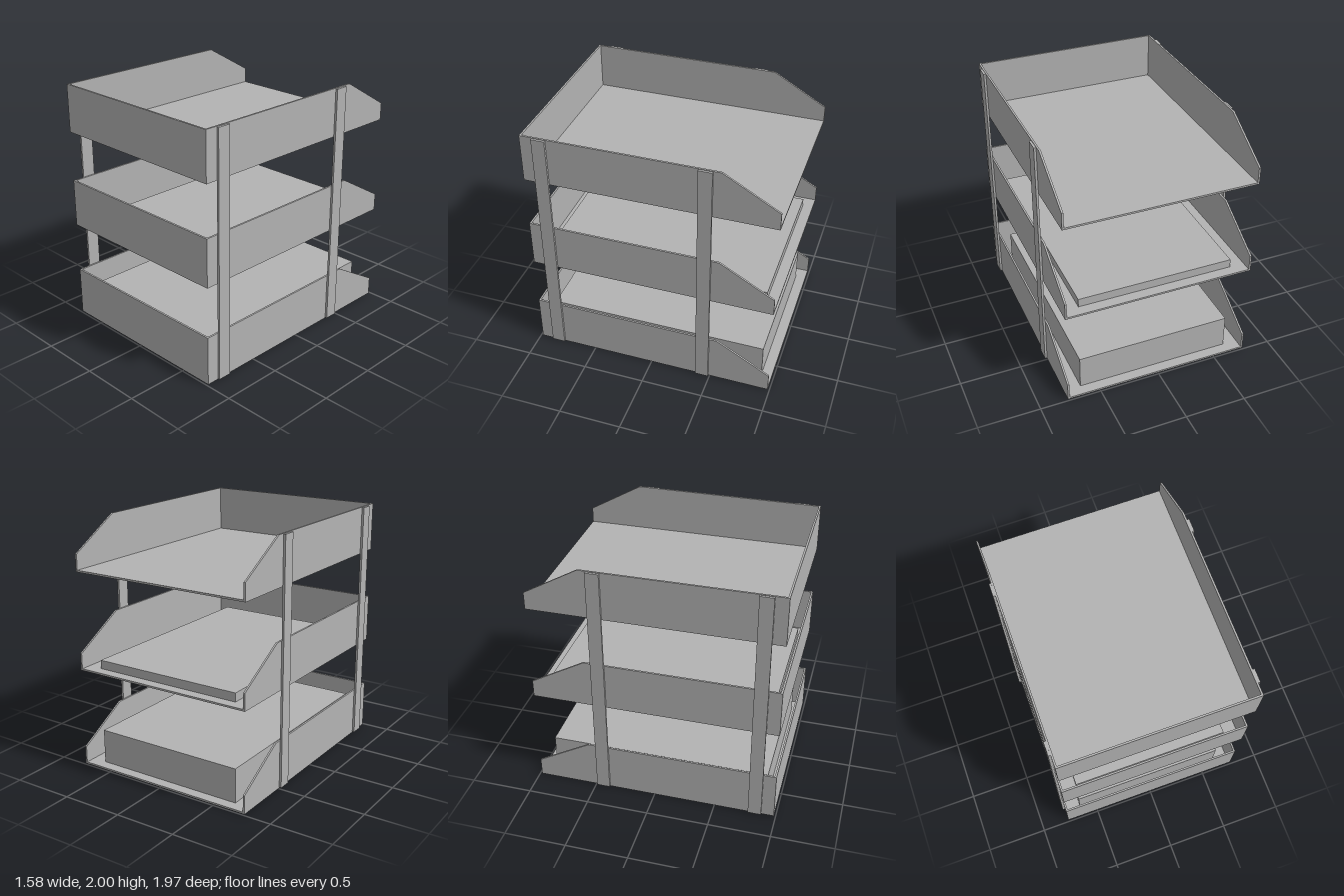
import * as THREE from 'three';

const W = 0.77;    // half width of a tray
const D = 0.985;   // half depth of a tray
const T = 0.015;   // sheet thickness

export function createModel() {
  const model = new THREE.Group();
  model.name = 'letterTrays';
  const grey = new THREE.MeshStandardMaterial({ color: 0xb3b3b3 });
  grey.name = 'grey';

  const add = (parent, name, geometry, x, y, z) => {
    const mesh = new THREE.Mesh(geometry, grey);
    mesh.name = name;
    mesh.position.set(x, y, z);
    parent.add(mesh);
  };
  // Box given by its centre in x and z and the height of its underside
  const box = (parent, name, w, h, d, x, y, z) =>
    add(parent, name, new THREE.BoxGeometry(w, h, d), x, y + h / 2, z);

  // Side wall sloping down to the open back; shape x becomes -z
  const sideWall = (h) => {
    const shape = new THREE.Shape([
      [-D, 0], [D, 0], [D, h - 0.25], [0.55, h], [-D, h],
    ].map(([x, y]) => new THREE.Vector2(x, y)));
    const g = new THREE.ExtrudeGeometry(shape, { depth: T, bevelEnabled: false });
    return g.translate(0, 0, -T / 2).rotateY(Math.PI / 2);
  };

  // Three trays: underside height, wall height, paper height
  const trays = [
    ['bottomTray', 0, 0.4, 0.28],
    ['middleTray', 0.81, 0.39, 0.07],
    ['topTray', 1.61, 0.39, 0],
  ];
  for (const [name, y, h, paper] of trays) {
    const tray = new THREE.Group();
    tray.name = name;
    tray.position.y = y;
    model.add(tray);
    box(tray, 'floor', 2 * (W - T), T, 2 * D - T, 0, 0, -T / 2);
    box(tray, 'frontWall', 2 * (W - T), h, T, 0, 0, D - T / 2);
    add(tray, 'leftWall', sideWall(h), W - T / 2, 0, 0);
    add(tray, 'rightWall', sideWall(h), -W + T / 2, 0, 0);
    if (paper) box(tray, 'paperStack', 1.27, paper, 1.8, 0, T, 0);
  }

  // Upright strips joining the trays
  for (const side of [1, -1]) {
    for (const [name, z] of [['frontPost', 0.83], ['rearPost', -0.435]]) {
      box(model, side > 0 ? name + 'Left' : name + 'Right',
        0.018, 1.99, 0.107, side * (W + 0.009), 0.005, z);
    }
  }
  return model;
}
